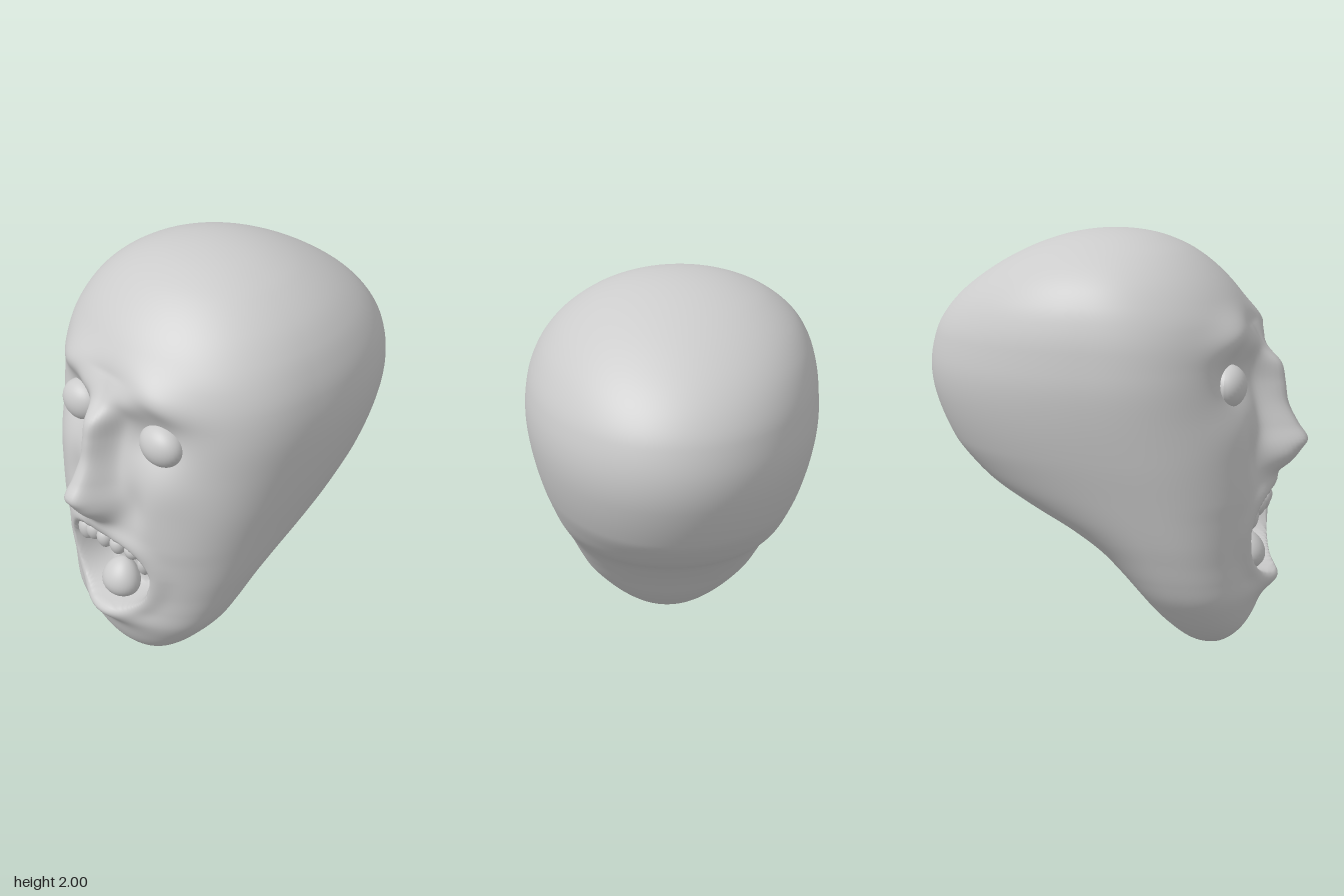
import * as THREE from 'three';

const material = new THREE.MeshStandardMaterial({ color: 0xcccccc, side: THREE.DoubleSide });
const { smoothstep } = THREE.MathUtils;

// Smooth interpolation through [position, value] pairs.
function smoothTable(points) {
  const n = points.length;
  const slope = points.map((p, i) => {
    const a = points[Math.max(i - 1, 0)], b = points[Math.min(i + 1, n - 1)];
    return (b[1] - a[1]) / (b[0] - a[0]);
  });
  return (x) => {
    if (x <= points[0][0]) return points[0][1];
    if (x >= points[n - 1][0]) return points[n - 1][1];
    let i = 0;
    while (x > points[i + 1][0]) i++;
    const h = points[i + 1][0] - points[i][0], s = (x - points[i][0]) / h;
    const s2 = s * s, s3 = s2 * s;
    return (2 * s3 - 3 * s2 + 1) * points[i][1] + (s3 - 2 * s2 + s) * h * slope[i]
      + (3 * s2 - 2 * s3) * points[i + 1][1] + (s3 - s2) * h * slope[i + 1];
  };
}

// Heights are stored as angles, so the crown and chin close roundly.
const heightTable = (points) => smoothTable(points.map(([y, v]) => [Math.acos(1 - y), v]));

// Skull outlines by height: half width, front, back and depth of the widest line.
const halfWidth = heightTable([[0, 0], [0.03, 0.135], [0.1, 0.245], [0.2, 0.345], [0.3, 0.42], [0.4, 0.465],
  [0.5, 0.5], [0.6, 0.533], [0.8, 0.588], [1, 0.64], [1.2, 0.68], [1.35, 0.695], [1.5, 0.684],
  [1.6, 0.66], [1.7, 0.617], [1.8, 0.542], [1.9, 0.41], [1.95, 0.3], [1.98, 0.195], [2, 0]]);
const front = heightTable([[0, 0.48], [0.03, 0.57], [0.1, 0.64], [0.2, 0.69], [0.3, 0.72], [0.4, 0.72],
  [0.5, 0.72], [0.7, 0.74], [0.8, 0.75], [1, 0.74], [1.2, 0.7], [1.4, 0.67], [1.6, 0.635],
  [1.7, 0.58], [1.8, 0.495], [1.9, 0.37], [1.95, 0.27], [1.98, 0.175], [2, -0.01]]);
const back = heightTable([[0, 0.48], [0.03, 0.37], [0.1, 0.28], [0.2, 0.18], [0.3, 0.1], [0.4, 0.01],
  [0.5, -0.1], [0.6, -0.26], [0.7, -0.46], [0.8, -0.63], [0.9, -0.74], [1, -0.82], [1.2, -0.905],
  [1.35, -0.925], [1.5, -0.895], [1.6, -0.84], [1.7, -0.748], [1.8, -0.615], [1.9, -0.435],
  [1.95, -0.31], [1.98, -0.2], [2, -0.01]]);
const middle = heightTable([[0, 0.48], [0.2, 0.43], [0.5, 0.32], [0.8, 0.17], [1.1, 0.04], [1.4, 0], [2, -0.01]]);

// Nose height and width along its ridge.
const noseHeight = smoothTable([[0.8, 0], [0.87, 0.04], [0.92, 0.1], [0.98, 0.15], [1.03, 0.185], [1.1, 0.155],
  [1.2, 0.125], [1.3, 0.125], [1.39, 0.115], [1.47, 0.045], [1.58, 0]]);
const noseWidth = smoothTable([[0.85, 0.1], [0.98, 0.105], [1.1, 0.085], [1.3, 0.065], [1.45, 0.085], [1.6, 0.11]]);

const bump = (x, y, cx, cy, sx, sy) => Math.exp(-(((x - cx) / sx) ** 2) - (((y - cy) / sy) ** 2));

// Forward displacement that sculpts the face.
function faceRelief(x, y) {
  const ax = Math.abs(x);
  let d = noseHeight(y) * Math.exp(-((ax / noseWidth(y)) ** 3));
  d += 0.045 * bump(ax, y, 0.29, 1.55 - 0.25 * (ax - 0.25), 0.15, 0.08); // brows
  d += 0.03 * bump(ax, y, 0.13, 1.49, 0.08, 0.07);
  d -= 0.055 * bump(ax, y, 0.25, 1.33, 0.13, 0.11);                      // sockets
  d += 0.015 * bump(ax, y, 0.36, 1.12, 0.13, 0.12);                      // cheekbones
  d += 0.02 * bump(ax, y, 0.09, 0.97, 0.04, 0.05);                       // nostril wings
  d -= 0.025 * bump(ax, y, 0.2, 0.98, 0.06, 0.12);
  d += 0.05 * bump(x, y, 0.03, 0.335, 0.16, 0.06);                       // lower lip
  // mouth hollow, wider at the top, with a softly raised rim
  const wide = 0.255 - 0.18 * Math.max(0, 0.62 - y);
  const r = (Math.abs((x - 0.02) / wide) ** 2.5 + Math.abs((y - 0.58) / 0.2) ** 2.5) ** 0.4;
  d += 0.018 * Math.exp(-(((r - 1.13) / 0.2) ** 2));
  d -= 0.18 * (1 - smoothstep(r, 0.86, 1.03));
  return d;
}

// Head surface: a stack of egg-shaped rings, denser and squarer toward the face.
function headGeometry(rows = 240, around = 220) {
  const positions = [], index = [];
  for (let j = 0; j <= rows; j++) {
    const t = Math.PI * j / rows, y = 1 - Math.cos(t);
    const w = Math.max(0, halfWidth(t)), zm = middle(t);
    const shift = -0.035 * smoothstep(y, 1.4, 1.95);
    const squareness = 0.78 + 0.14 * smoothstep(y, 1.45, 1.85);
    for (let i = 0; i < around; i++) {
      const u = 2 * i / around - 1;
      const a = Math.PI * u * (0.62 + 0.38 * u * u);
      const c = Math.cos(a), x = w * Math.sin(a);
      let z = zm + (zm - back(t)) * c;
      if (c > 0) {
        z = zm + (front(t) - zm) * c ** squareness + faceRelief(x, y) * smoothstep(c, 0.1, 0.5);
      }
      positions.push(x + shift, y, z);
      if (j < rows) {
        const p = j * around + i, q = j * around + (i + 1) % around;
        if (j > 0) index.push(p, q, p + around);
        if (j < rows - 1) index.push(q, q + around, p + around);
      }
    }
  }
  const g = new THREE.BufferGeometry();
  g.setAttribute('position', new THREE.Float32BufferAttribute(positions, 3));
  g.setIndex(index);
  g.computeVertexNormals();
  return g;
}

// Ball stretched to given radii, narrowing toward the top (+) or bottom (-).
function egg(name, [x, y, z], [rx, ry, rz], taper = 0) {
  const g = new THREE.SphereGeometry(1, 32, 20);
  const p = g.attributes.position;
  for (let i = 0; i < p.count; i++) {
    const k = 1 - taper * p.getY(i);
    p.setXYZ(i, p.getX(i) * k * rx, p.getY(i) * ry, p.getZ(i) * k * rz);
  }
  g.computeVertexNormals();
  const mesh = new THREE.Mesh(g, material);
  mesh.name = name;
  mesh.position.set(x, y, z);
  return mesh;
}

export function createModel() {
  const model = new THREE.Group();
  model.name = 'screamingHead';

  const head = new THREE.Mesh(headGeometry(), material);
  head.name = 'head';
  model.add(head);

  // Eyes
  model.add(egg('rightEye', [-0.268, 1.315, 0.59], [0.113, 0.1, 0.085]));
  model.add(egg('leftEye', [0.276, 1.315, 0.59], [0.118, 0.1, 0.085]));

  // Upper teeth along the lip
  const teeth = new THREE.Group();
  teeth.name = 'teeth';
  [[-0.17, 0.675, 0.045, 0.06], [-0.09, 0.715, 0.043, 0.052], [-0.004, 0.72, 0.042, 0.052],
    [0.082, 0.72, 0.042, 0.05], [0.163, 0.715, 0.042, 0.042], [0.225, 0.66, 0.034, 0.055]]
    .forEach(([x, y, rx, ry]) => teeth.add(egg('tooth', [x, y, 0.71 - 0.9 * x * x], [rx, ry, 0.04], -0.15)));
  model.add(teeth);

  // Tongue, leaning back from the lower lip
  const tongue = egg('tongue', [0.015, 0.465, 0.635], [0.1, 0.1, 0.085], 0.18);
  tongue.rotation.x = -0.25;
  model.add(tongue);

  return model;
}
